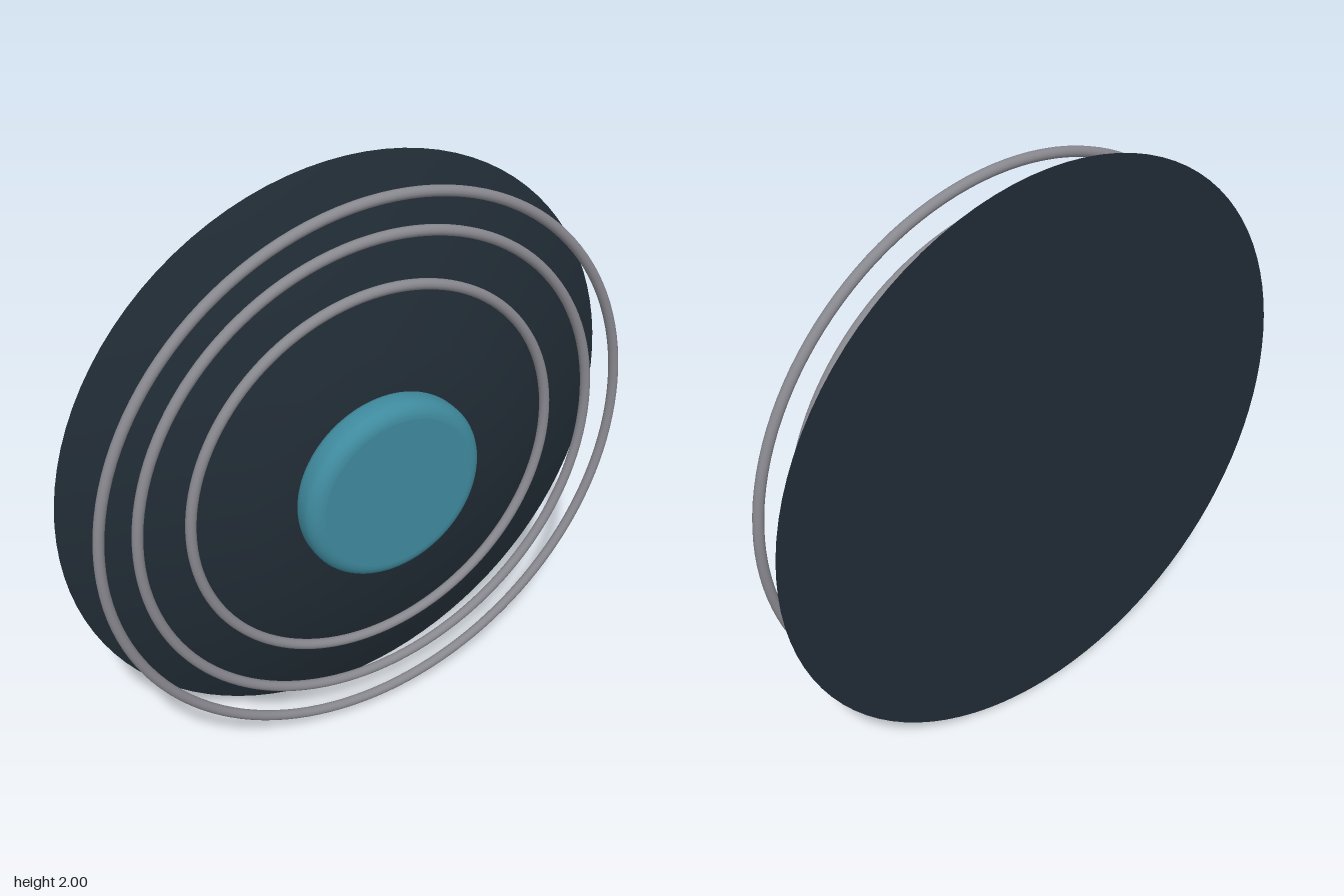
import * as THREE from 'three';

const mat = (name, color) => {
  const m = new THREE.MeshStandardMaterial({ color });
  m.name = name;
  return m;
};

export function createModel() {
  const dark = mat('dark slate', 0x212c35);
  const grey = mat('ring grey', 0x88888f);
  const teal = mat('teal', 0x3f8a9e);

  const group = new THREE.Group();
  group.name = 'ringedDisc';

  // everything shares one axis: local +z, turned towards +x
  const disc = new THREE.Group();
  disc.name = 'disc';
  disc.position.set(-0.045, 1, -0.07);
  disc.rotation.y = THREE.MathUtils.degToRad(38.3);
  group.add(disc);

  const add = (name, geometry, material, z = 0) => {
    const mesh = new THREE.Mesh(geometry, material);
    mesh.name = name;
    mesh.position.z = z;
    disc.add(mesh);
    return mesh;
  };
  const turned = (points) => new THREE.LatheGeometry(
    points.map(([r, h]) => new THREE.Vector2(r, h)), 96).rotateX(Math.PI / 2);

  // sloping front with a flat middle, and a flat back
  add('dishFront', turned([[1, 0], [0.46, 0.213], [0, 0.216]]), dark);
  add('dishBack', turned([[0, 0], [1, 0]]), dark);

  // three concentric rings in one plane
  [0.65, 0.82, 0.94].forEach((r, i) =>
    add(`ring${i + 1}`, new THREE.TorusGeometry(r, 0.017, 12, 128), grey, 0.188));

  // central button with rounded edges
  const R = 0.315, half = 0.06, bevel = 0.05;
  const rim = [];
  for (let i = 0; i <= 16; i++) {
    const a = -Math.PI / 2 + (Math.PI * i) / 16;
    rim.push([R - bevel + bevel * Math.cos(a),
      Math.sign(Math.round(i - 8)) * (half - bevel) + bevel * Math.sin(a)]);
  }
  add('buttonRim', turned(rim), teal, 0.255);
  add('buttonFace', new THREE.CircleGeometry(R - bevel, 96), teal, 0.255 + half);
  add('buttonBack', new THREE.CircleGeometry(R - bevel, 96).rotateY(Math.PI), teal, 0.255 - half);

  return group;
}
